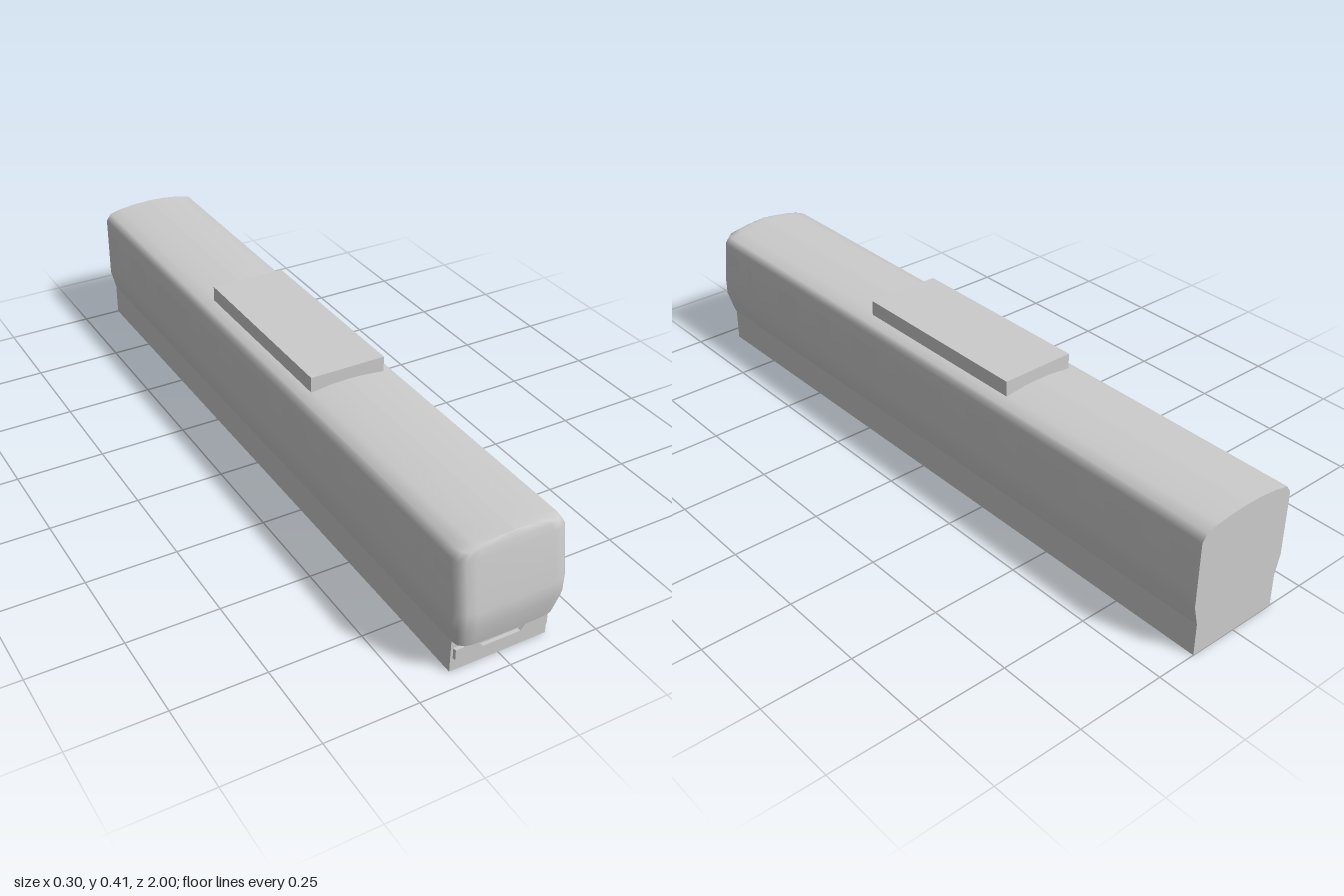
import * as THREE from 'three';

const material = new THREE.MeshStandardMaterial({ color: 0xcccccc, side: THREE.DoubleSide });

// Half cross-section of the body: [half width, height, front z]
const levels = [
  [0.137, 0.093, 0.985],
  [0.151, 0.15, 0.998],
  [0.151, 0.2, 1.0],
  [0.151, 0.333, 0.979],
  [0.137, 0.354, 0.975],
  [0.1, 0.363, 0.972],
  [0.05, 0.369, 0.97],
  [0, 0.371, 0.97],
];

// Plan of one level, from the left rear corner round the nose to the right rear
function planPath([w, y, front]) {
  const half = [
    [w, -1], [w, 0.9], [w, front - 0.035], [w * 0.97, front - 0.018],
    [w * 0.87, front - 0.006], [w * 0.7, front - 0.002],
  ];
  const right = half.map(([x, z]) => [-x, z]).reverse();
  return [...half, [0, front], ...right].map(([x, z]) => [x, y, z]);
}

// Skin over equal-length rows of points
function skin(rows) {
  const n = rows[0].length;
  const index = [];
  for (let i = 0; i < rows.length - 1; i++) {
    for (let j = 0; j < n - 1; j++) {
      const a = i * n + j, b = a + n;
      index.push(a, b, a + 1, a + 1, b, b + 1);
    }
  }
  const g = new THREE.BufferGeometry();
  g.setAttribute('position', new THREE.Float32BufferAttribute(rows.flat(2), 3));
  g.setIndex(index);
  g.computeVertexNormals();
  return g;
}

function shapeOf(points) {
  return new THREE.Shape(points.map(([x, y]) => new THREE.Vector2(x, y)));
}

export function createModel() {
  const group = new THREE.Group();
  const add = (name, geometry, x = 0, y = 0, z = 0) => {
    const mesh = new THREE.Mesh(geometry, material);
    mesh.name = name;
    mesh.position.set(x, y, z);
    group.add(mesh);
    return mesh;
  };

  // Rounded carriage body and nose
  add('body', skin(levels.map(planPath)));

  // Open-bottomed skirt: two sides and a front
  const skirtW = 0.137, skirtH = 0.093, skirtFront = 0.95;
  for (const s of [1, -1]) {
    const side = new THREE.PlaneGeometry(1 + skirtFront, skirtH).rotateY(s * Math.PI / 2);
    add(s > 0 ? 'leftSkirt' : 'rightSkirt', side, s * skirtW, skirtH / 2, (skirtFront - 1) / 2);
  }
  add('frontSkirt', new THREE.PlaneGeometry(skirtW * 2, skirtH), 0, skirtH / 2, skirtFront);

  // Underside of the nose overhang
  const rim = planPath(levels[0]).slice(2, -2).map(([x, , z]) => [x, z]);
  const lip = shapeOf([[skirtW, skirtFront], ...rim, [-skirtW, skirtFront]]);
  add('noseUnderside', new THREE.ShapeGeometry(lip).rotateX(Math.PI / 2), 0, skirtH, 0);

  // Flat rear wall
  const leftEdge = [[skirtW, 0], ...levels];
  const rightEdge = leftEdge.slice(0, -1).map(([x, y]) => [-x, y]).reverse();
  add('rearWall', new THREE.ShapeGeometry(shapeOf([...leftEdge, ...rightEdge])).rotateY(Math.PI), 0, 0, -1);

  // Notched plate on the front skirt
  const plateHalf = [[0.105, 0.02], [0.13, 0.04], [0.13, 0.07], [0.07, 0.07], [0.053, 0.05]];
  const plate = shapeOf([...plateHalf, ...plateHalf.map(([x, y]) => [-x, y]).reverse()]);
  add('frontPlate', new THREE.ExtrudeGeometry(plate, { depth: 0.01, bevelEnabled: false }), 0, 0, skirtFront);

  // Roof equipment box
  add('roofUnit', new THREE.BoxGeometry(0.216, 0.043, 0.558), 0, 0.3845, -0.027);

  // Side windows: [front z, rear z, bottom, top]
  const windows = [
    [0.95, 0.885, 0.265, 0.305], [0.84, 0.815, 0.23, 0.29],
    ...[[0.675, 0.57], [0.47, 0.4], [0.3, 0.185], [0.1, -0.105], [-0.2, -0.315],
      [-0.4, -0.61], [-0.705, -0.82], [-0.91, -0.985]].map((z) => [...z, 0.205, 0.295]),
  ];
  for (const s of [1, -1]) {
    for (const [z1, z0, y0, y1] of windows) {
      const pane = new THREE.PlaneGeometry(z1 - z0, y1 - y0).rotateY(s * Math.PI / 2);
      add(s > 0 ? 'leftWindow' : 'rightWindow', pane, s * 0.1516, (y0 + y1) / 2, (z0 + z1) / 2);
    }
  }
  return group;
}
